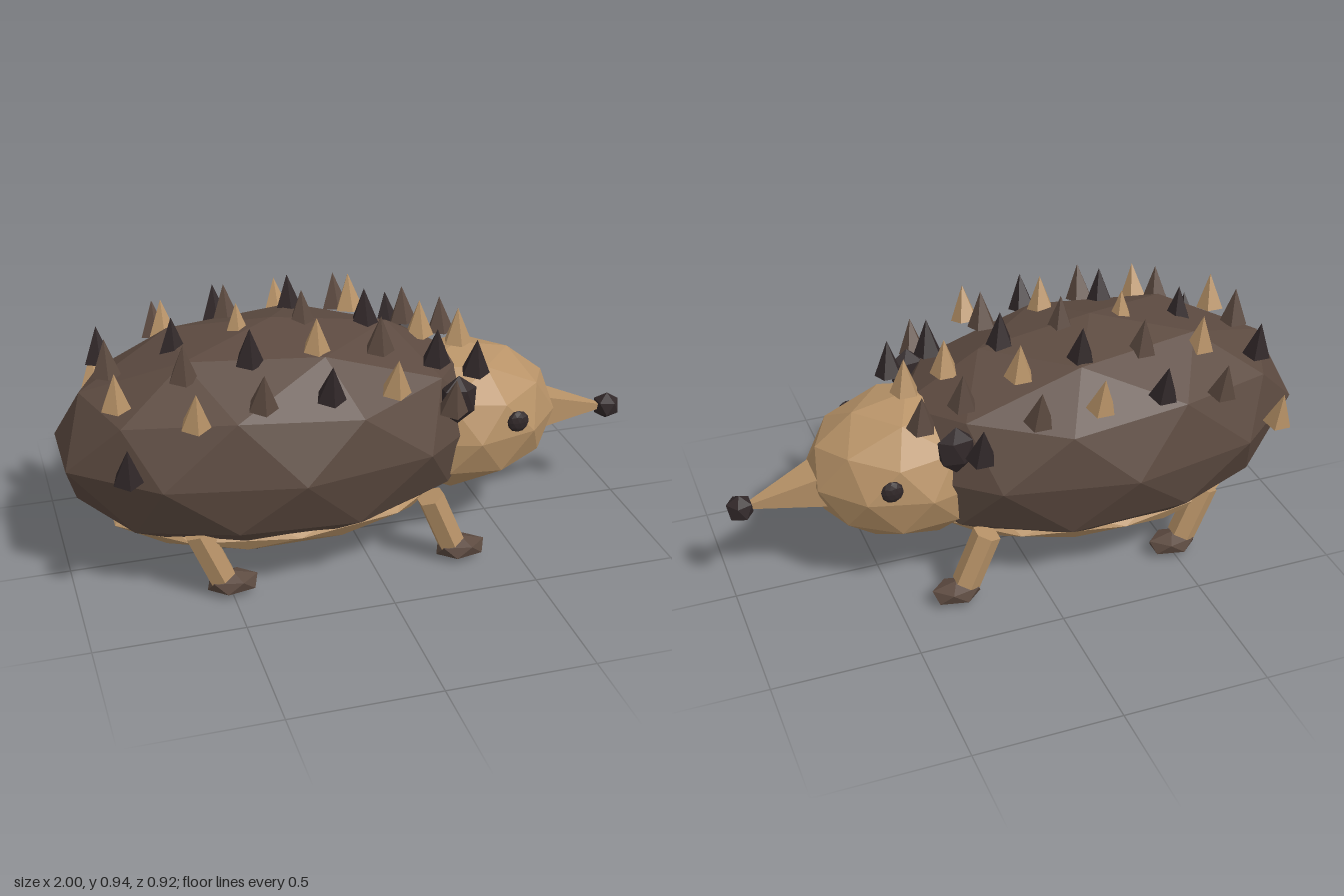
import * as THREE from 'three';

const material = (name, color) => {
  const m = new THREE.MeshStandardMaterial({ color, flatShading: true });
  m.name = name;
  return m;
};

export function createModel() {
  const model = new THREE.Group();
  model.name = 'hedgehog';
  const tan = material('tan', 0xb89368);
  const brown = material('brown', 0x5c4a40);
  const dark = material('dark', 0x312829);

  const add = (name, geometry, mat, x, y, z, parent = model) => {
    const mesh = new THREE.Mesh(geometry, mat);
    mesh.name = name;
    mesh.position.set(x, y, z);
    parent.add(mesh);
    return mesh;
  };

  // Faceted ellipsoid with a corner pointing straight up
  const blob = (rx, ry, rz, detail) => {
    const g = new THREE.IcosahedronGeometry(1, detail);
    g.rotateZ(-Math.atan(2 / (1 + Math.sqrt(5))));
    g.scale(rx, ry, rz);
    g.computeVertexNormals();
    return g;
  };

  // Body, belly and head
  add('body', blob(0.757, 0.396, 0.46, 1), brown, -0.28, 0.46, 0);
  add('belly', blob(0.6, 0.1, 0.365, 1), tan, -0.28, 0.22, 0);
  add('head', blob(0.355, 0.26, 0.285, 1), tan, 0.372, 0.425, 0);

  // Square pointed snout, drooping slightly, with a nose at the tip
  const snoutGeometry = new THREE.ConeGeometry(0.115, 0.34, 4);
  snoutGeometry.rotateY(Math.PI / 4);
  snoutGeometry.rotateZ(-Math.PI / 2);
  snoutGeometry.scale(1, 0.85, 1);
  const snout = add('snout', snoutGeometry, tan, 0.80, 0.383, 0);
  snout.rotation.z = -0.15;
  add('nose', blob(0.05, 0.05, 0.05, 0), dark, 0.955, 0.36, 0);

  // Paired eyes, ears, legs and feet
  const eye = blob(0.038, 0.039, 0.018, 1);
  const ear = blob(0.07, 0.087, 0.034, 0);
  const leg = new THREE.CylinderGeometry(0.049, 0.049, 0.2, 6);
  const foot = blob(0.095, 0.042, 0.062, 0);
  for (const side of [1, -1]) {
    const label = side > 0 ? 'front' : 'back';
    add(`${label}SideEye`, eye, dark, 0.505, 0.487, side * 0.263);
    add(`${label}SideEar`, ear, dark, 0.287, 0.6, side * 0.265);
    for (const [end, x] of [['fore', 0.23], ['hind', -0.57]]) {
      const limb = new THREE.Group();
      limb.name = `${label}Side${end}Limb`;
      model.add(limb);
      add('leg', leg, tan, x, 0.165, side * 0.283, limb).rotation.z = 0.39;
      add('foot', foot, brown, x + 0.073, 0.045, side * 0.283, limb);
    }
  }

  // Spikes: each row holds x, then tip heights at the middle, inner and outer lines
  const rows = [
    [-0.83, 0.845, 0.81, 0.64],
    [-0.61, 0.895, 0.88, 0.8],
    [-0.395, 0.92, 0.91, 0.835],
    [-0.175, 0.94, 0.92, 0.835],
    [0.04, 0.92, 0.9, 0.83],
    [0.235, 0.855, 0.83, 0.735],
    [0.375, 0.81, 0.775],
  ];
  const cycle = [tan, dark, brown];
  const height = 0.125;
  const spikeGeometry = new THREE.ConeGeometry(0.05, height, 5);
  const spikes = new THREE.Group();
  spikes.name = 'spikes';
  model.add(spikes);
  rows.forEach(([x, ...tips], i) => {
    for (let j = -2; j <= 2; j++) {
      const tip = tips[Math.abs(j)];
      if (tip === undefined) continue;
      // the short last row shifts the colour cycle by one
      const step = j + 2 - i + (i === 6 ? 1 : 0) + 9;
      const spike = add('spike', spikeGeometry, cycle[step % 3], x, tip - height / 2, j * 0.186, spikes);
      spike.rotation.x = j * 0.12;
    }
  });

  return model;
}
